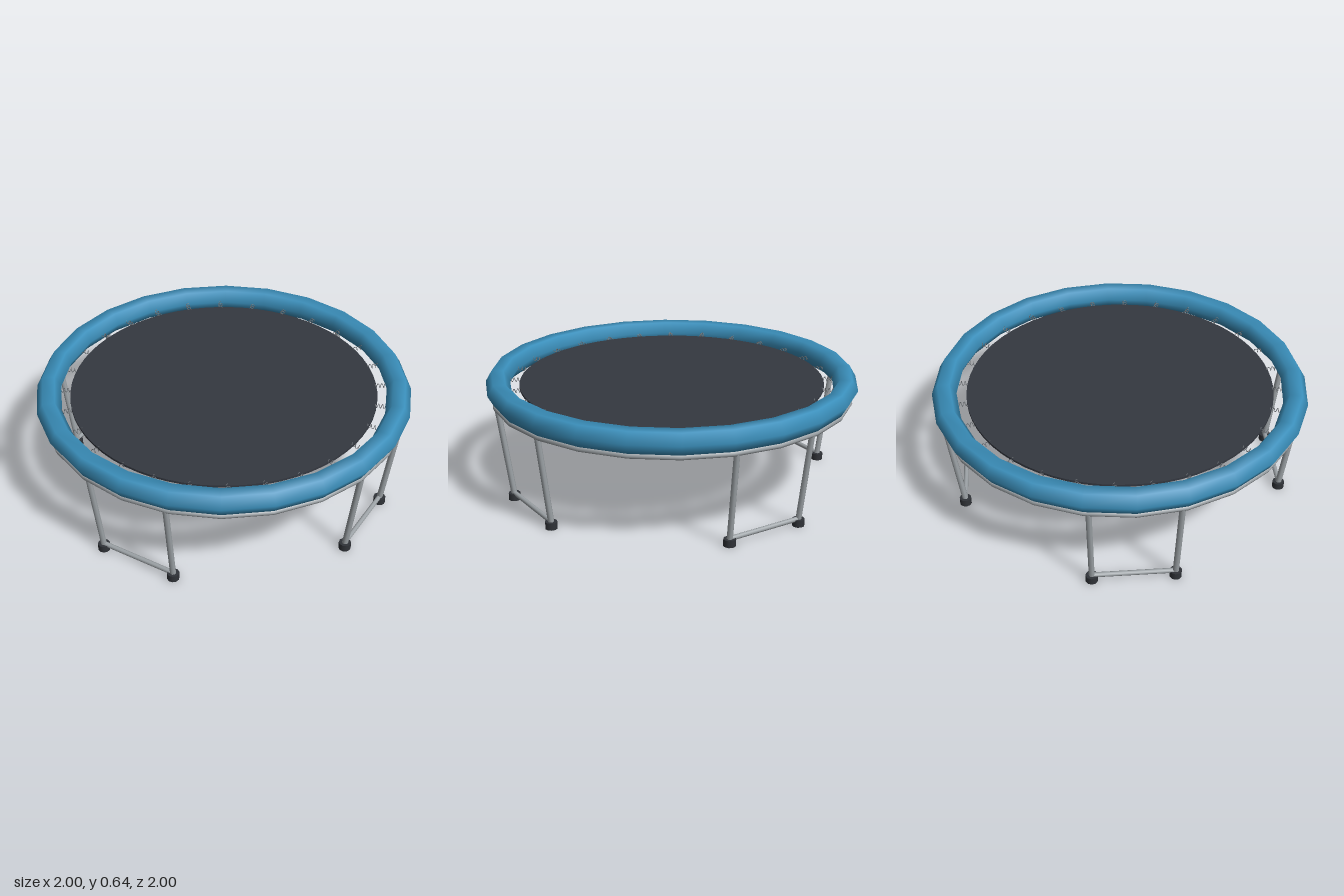
import * as THREE from 'three';

const material = (name, color) => {
  const m = new THREE.MeshStandardMaterial({ color });
  m.name = name;
  return m;
};

export function createModel() {
  const blue = material('blue pad', 0x3a8fbb);
  const steel = material('steel', 0x9ea4a8);
  const springSteel = material('spring steel', 0x74797e);
  const fabric = material('dark fabric', 0x343840);
  const rubber = material('dark rubber', 0x303338);

  const model = new THREE.Group();
  model.name = 'trampoline';

  const add = (parent, name, geometry, mat) => {
    const mesh = new THREE.Mesh(geometry, mat);
    mesh.name = name;
    parent.add(mesh);
    return mesh;
  };

  // Straight round bar between two points
  const bar = (parent, name, a, b, radius) => {
    const dir = b.clone().sub(a);
    const mesh = add(parent, name, new THREE.CylinderGeometry(radius, radius, dir.length(), 8), steel);
    mesh.position.copy(a).add(b).multiplyScalar(0.5);
    mesh.quaternion.setFromUnitVectors(new THREE.Vector3(0, 1, 0), dir.normalize());
  };

  // Padded rim with a six-sided section
  add(model, 'pad', new THREE.TorusGeometry(0.935, 0.065, 6, 24).rotateX(Math.PI / 2), blue)
    .position.y = 0.585;

  // Tubular ring below the pad
  add(model, 'frameRing', new THREE.TorusGeometry(0.957, 0.016, 8, 24).rotateX(Math.PI / 2), steel)
    .position.y = 0.516;

  // Jumping mat
  add(model, 'mat', new THREE.CylinderGeometry(0.818, 0.818, 0.012, 64), fabric)
    .position.y = 0.578;

  // Coil springs between mat and rim
  const turns = 6, steps = 6;
  const coil = [];
  for (let i = 0; i <= turns * steps; i++) {
    const a = (i / steps) * Math.PI * 2;
    const r = 0.81 + 0.12 * (i / (turns * steps));
    coil.push(new THREE.Vector3(r, Math.cos(a) * 0.011, Math.sin(a) * 0.011));
  }
  const springGeometry = new THREE.TubeGeometry(new THREE.CatmullRomCurve3(coil), 48, 0.002, 4);
  const springs = new THREE.Group();
  springs.name = 'springs';
  model.add(springs);
  for (let i = 0; i < 28; i++) {
    const spring = add(springs, 'spring', springGeometry, springSteel);
    spring.position.y = 0.58;
    spring.rotation.y = (i / 28) * Math.PI * 2;
  }

  // Four U-shaped leg frames, each with two splayed legs, a cross bar and feet
  const footGeometry = new THREE.CylinderGeometry(0.032, 0.032, 0.038, 10);
  for (let i = 0; i < 4; i++) {
    const legFrame = new THREE.Group();
    legFrame.name = 'legFrame';
    legFrame.rotation.y = (i * Math.PI) / 2;
    model.add(legFrame);
    const bottoms = [[0.815, 0.495, 0.76, 0.458], [0.495, 0.815, 0.458, 0.76]].map(([tx, tz, bx, bz]) => {
      const bottom = new THREE.Vector3(bx, 0.03, bz);
      bar(legFrame, 'leg', new THREE.Vector3(tx, 0.516, tz), bottom, 0.016);
      add(legFrame, 'foot', footGeometry, rubber).position.set(bx, 0.019, bz);
      return bottom.setY(0.037);
    });
    bar(legFrame, 'crossBar', bottoms[0], bottoms[1], 0.013);
  }

  return model;
}
